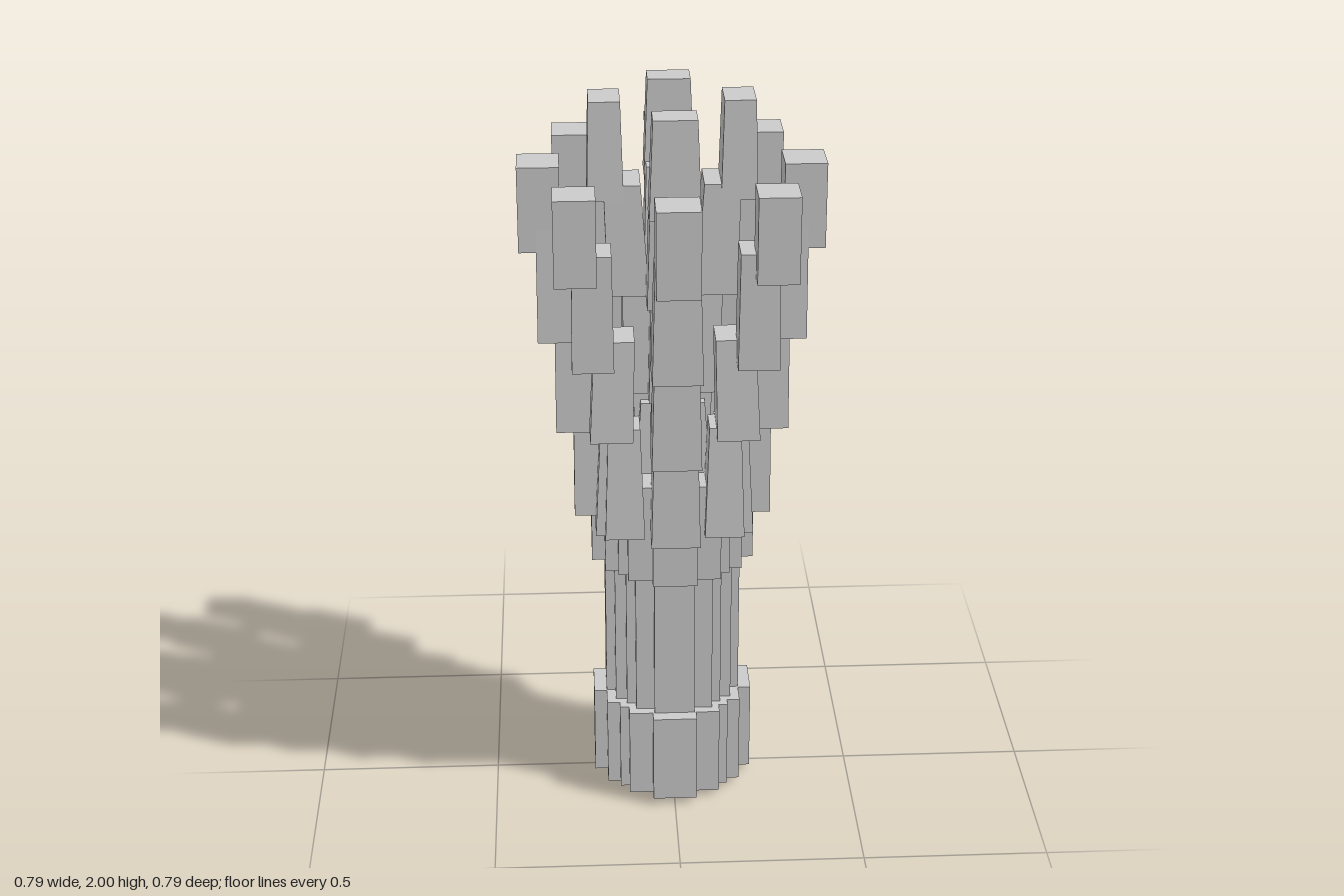
import * as THREE from 'three';

const material = new THREE.MeshStandardMaterial({ color: 0xcccccc, flatShading: true });

// Box from bounds; the top is scaled by taper and moved by (shiftX, shiftZ)
function block(parent, name, [x0, x1], [y0, y1], [z0, z1], taper = 1, shiftX = 0, shiftZ = 0) {
  const geo = new THREE.BoxGeometry(x1 - x0, y1 - y0, z1 - z0);
  const p = geo.attributes.position;
  for (let i = 0; i < p.count; i++) {
    if (p.getY(i) > 0) {
      p.setX(i, p.getX(i) * taper + shiftX);
      p.setZ(i, p.getZ(i) * taper + shiftZ);
    }
  }
  geo.translate((x0 + x1) / 2, (y0 + y1) / 2, (z0 + z1) / 2);
  geo.computeVertexNormals();
  const mesh = new THREE.Mesh(geo, material);
  mesh.name = name;
  parent.add(mesh);
  return mesh;
}

// Stepped round column extruded from a 12-lobed outline
function steppedColumn(parent, name, corners, y0, y1) {
  const quarter = [...corners, ...corners.slice().reverse().map(([a, b]) => [b, a])];
  const pts = [];
  for (let q = 0; q < 4; q++) {
    const c = [1, 0, -1, 0][q], s = [0, 1, 0, -1][q];
    quarter.forEach(([a, b], i) => {
      const add = (x, y) => pts.push(new THREE.Vector2(x * c - y * s, x * s + y * c));
      add(a, b);
      // inner corner between neighbouring lobes
      if (i < quarter.length - 1 && quarter[i + 1][0] !== a) add(quarter[i + 1][0], b);
    });
  }
  const geo = new THREE.ExtrudeGeometry(new THREE.Shape(pts), { depth: y1 - y0, bevelEnabled: false });
  geo.rotateX(-Math.PI / 2).translate(0, y0, 0);
  const mesh = new THREE.Mesh(geo, material);
  mesh.name = name;
  parent.add(mesh);
}

export function createModel() {
  const model = new THREE.Group();
  model.name = 'torch';

  // Handle: pommel, shaft and collar
  const wide = [[0.22, 0.06], [0.185, 0.125], [0.15, 0.15]];
  const narrow = [[0.185, 0.055], [0.16, 0.105], [0.13, 0.13]];
  steppedColumn(model, 'pommel', wide, 0.02, 0.28);
  steppedColumn(model, 'shaft', narrow, 0.27, 0.72);
  steppedColumn(model, 'collar', wide, 0.7, 0.98);
  const cap = new THREE.Mesh(new THREE.CylinderGeometry(0.185, 0.02, 0.02, 12), material);
  cap.name = 'pommelCap';
  cap.position.y = 0.01;
  model.add(cap);

  // Core inside the crown
  block(model, 'core', [-0.1, 0.1], [0.95, 1.18], [-0.1, 0.1], 0.85);

  // Crown: one quarter repeated around the axis
  for (let q = 0; q < 4; q++) {
    const quarter = new THREE.Group();
    quarter.name = 'crownQuarter';
    quarter.rotation.y = q * Math.PI / 2;
    model.add(quarter);

    // Outer branch climbing outwards
    const outer = [[0.155, 0.265, 0.84, 1.15], [0.2, 0.31, 1.09, 1.41], [0.245, 0.353, 1.35, 1.66]];
    outer.forEach(([x0, x1, y0, y1]) =>
      block(quarter, 'outerBranch', [x0, x1], [y0, y1], [-0.065, 0.065], 0.88, 0.005));
    block(quarter, 'outerTip', [0.288, 0.397], [1.6, 1.83], [-0.056, 0.056]);

    // Inner branch, taller and closer to the axis
    block(quarter, 'innerBranch', [0.0, 0.1], [1.1, 1.25], [-0.06, 0.06], 0.95, 0.01);
    block(quarter, 'innerBranch', [0.03, 0.13], [1.2, 1.5], [-0.065, 0.065], 0.9, 0.005);
    block(quarter, 'innerBranch', [0.06, 0.168], [1.48, 1.78], [-0.07, 0.07], 0.88, 0.015);
    block(quarter, 'innerTip', [0.122, 0.215], [1.74, 2.0], [-0.066, 0.066], 0.85, 0.0);
    quarter.children.at(-1).scale.x = 1.02;

    // Diagonal branch
    block(quarter, 'diagonalBranch', [0.11, 0.222], [1.13, 1.41], [0.11, 0.222], 0.93, -0.01, -0.01);
    block(quarter, 'diagonalBranch', [0.158, 0.266], [1.35, 1.665], [0.158, 0.266], 0.93);
    block(quarter, 'diagonalTip', [0.2, 0.307], [1.6, 1.83], [0.2, 0.307]);

    // Paired shoots at the foot of the diagonal branch
    block(quarter, 'shoot', [0.08, 0.185], [0.84, 1.155], [0.1, 0.21], 0.8, 0, -0.005);
    block(quarter, 'shoot', [0.1, 0.21], [0.84, 1.155], [0.08, 0.185], 0.8, -0.005, 0);
  }
  return model;
}
